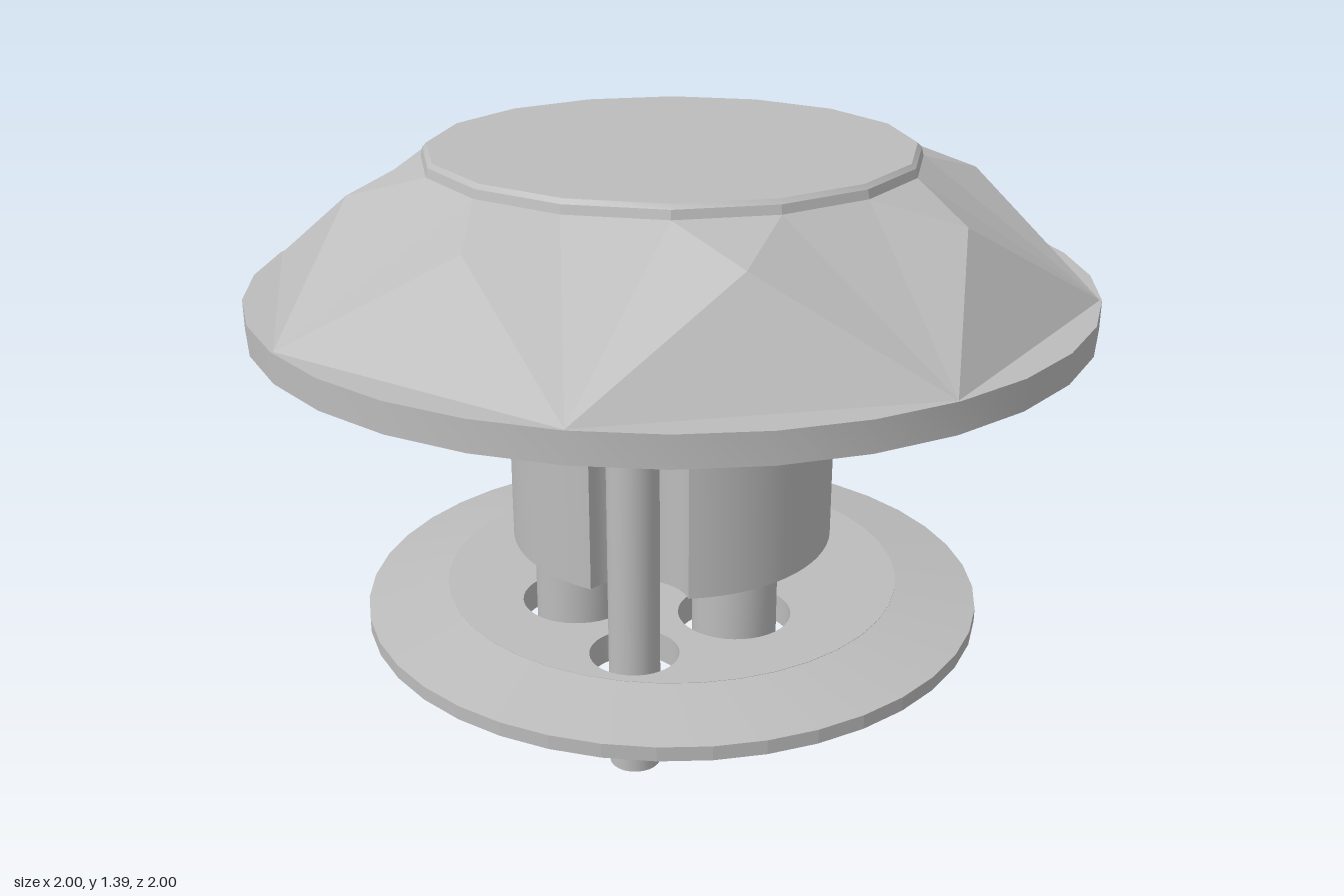
import * as THREE from 'three';
import { toCreasedNormals } from 'three/addons/utils/BufferGeometryUtils.js';

export function createModel() {
  const model = new THREE.Group();
  const metal = new THREE.MeshStandardMaterial({ color: 0xbcbcbc });
  metal.name = 'greyMetal';

  function add(name, geometry, crease = 0.5) {
    const mesh = new THREE.Mesh(toCreasedNormals(geometry, crease), metal);
    mesh.name = name;
    model.add(mesh);
    return mesh;
  }
  // Profiles run counter-clockwise as [radius, height]
  function lathe(name, points, sides = 32, start = 0, crease = 0.5) {
    const profile = points.map(([r, y]) => new THREE.Vector2(r, y));
    return add(name, new THREE.LatheGeometry(profile, sides, start), crease);
  }
  function post(name, radius, bottom, top, x, z) {
    const g = new THREE.CylinderGeometry(radius, radius, top - bottom, 24);
    add(name, g).position.set(x, (bottom + top) / 2, z);
  }
  function extrudeUp(name, shape, bottom, top) {
    const g = new THREE.ExtrudeGeometry(shape, { depth: top - bottom, bevelEnabled: false, curveSegments: 20 });
    g.rotateX(-Math.PI / 2).translate(0, bottom, 0);
    add(name, g);
  }

  // Hollow rim and underside of the cap
  lathe('capRim', [[0, 1.26], [0.55, 1.25], [0.85, 1.1], [0.97, 1.0], [1, 1.0], [1, 1.07], [0.9, 1.07]]);

  // Cut facets: eight kites, with triangles between them
  const step = Math.PI / 16;
  const at = (r, y, k) => [r * Math.sin(k * step), y, r * Math.cos(k * step)];
  const rim = k => at(0.995, 1.07, k);
  const mid = k => at(0.75, 1.3, k);
  const top = k => at(0.585, 1.36, k);
  const verts = [];
  for (let k = 0; k < 32; k += 4) {
    const triangles = [
      [rim(k), rim(k + 4), mid(k + 2)],
      [rim(k), mid(k + 2), top(k + 1)],
      [rim(k), top(k + 1), top(k - 1)],
      [rim(k), top(k - 1), mid(k - 2)],
      [mid(k + 2), top(k + 3), top(k + 1)],
    ];
    verts.push(...triangles.flat(2));
  }
  const facets = new THREE.BufferGeometry();
  facets.setAttribute('position', new THREE.Float32BufferAttribute(verts, 3));
  facets.computeVertexNormals();
  add('capFacets', facets, 0.05);

  // Sixteen-sided table with a small chamfer
  lathe('capTable', [[0.585, 1.36], [0.58, 1.38], [0.57, 1.39], [0, 1.39]], 16, step, 0.3);

  // Conical dish under the cap
  lathe('dish', [[0, 1.05], [0.54, 1.05], [0.54, 0.89], [0.56, 0.89], [0.77, 1.04], [0.77, 1.07],
    [0.6, 1.08], [0.6, 1.25]], 48);

  // Round body with a groove for each screw
  const R = 0.4, G = 0.13, D = 0.44, H = Math.PI / 2;
  const gy = (R * R - G * G + D * D) / (2 * D);
  const gx = Math.sqrt(R * R - gy * gy);
  const a = Math.asin(gx / R), b = Math.atan2(D - gy, gx);
  const body = new THREE.Shape();
  body.absarc(0, 0, R, -H + a, H - a, false);
  body.absarc(0, D, G, -b, -Math.PI + b, true);
  body.absarc(0, 0, R, H + a, 3 * H - a, false);
  body.absarc(0, -D, G, Math.PI - b, b, true);
  extrudeUp('body', body, 0.41, 1.06);

  // Base plate: holed centre and sloping outer ring
  const plate = new THREE.Shape();
  plate.absarc(0, 0, 0.57, 0, Math.PI * 2, false);
  function hole(x, y, r) {
    const path = new THREE.Path();
    path.absarc(x, y, r, 0, Math.PI * 2, true);
    plate.holes.push(path);
  }

  // Screws and pegs, each passing through its own hole
  for (const s of [-1, 1]) {
    post('screwShaft', 0.06, 0, 0.84, 0, s * D);
    post('screwHead', 0.1, 0.83, 1.06, 0, s * D);
    hole(0, s * D, 0.105);
    for (const t of [-1, 1]) {
      post('peg', 0.103, 0.155, 0.43, s * 0.195, t * 0.2);
      hole(s * 0.195, t * 0.2, 0.137);
    }
  }
  extrudeUp('plateCentre', plate, 0.215, 0.288);
  lathe('plateRing', [[0.565, 0.215], [0.77, 0.215], [0.77, 0.25], [0.565, 0.288]], 40, 0, 0.15);

  return model;
}
